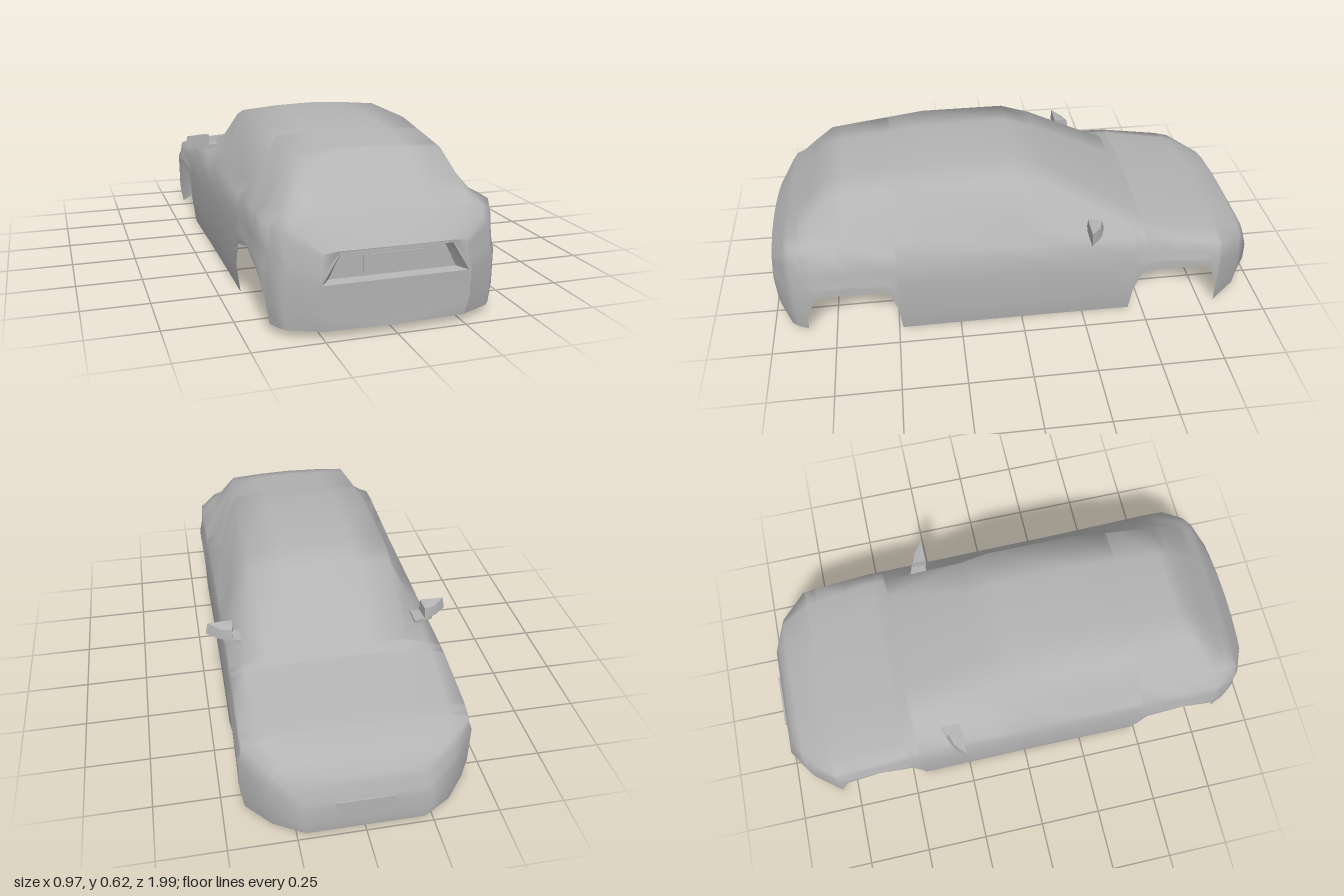
import * as THREE from 'three';
import { toCreasedNormals } from 'three/addons/utils/BufferGeometryUtils.js';
import { ConvexGeometry } from 'three/addons/geometries/ConvexGeometry.js';

// Body stations: z, half width, bulge y, shoulder y, window base x/y, roof edge x/y, centre y
const KEYS = [
  [0.973, 0.27, 0.2, 0.285, 0.25, 0.301, 0.2, 0.307, 0.309],
  [0.925, 0.375, 0.22, 0.335, 0.335, 0.365, 0.265, 0.388, 0.395],
  [0.9, 0.395, 0.23, 0.36, 0.345, 0.395, 0.29, 0.41, 0.417],
  [0.81, 0.433, 0.25, 0.385, 0.355, 0.41, 0.285, 0.488, 0.5],
  [0.727, 0.434, 0.256, 0.388, 0.358, 0.412, 0.26, 0.565, 0.578],
  [0.34, 0.43, 0.256, 0.38, 0.362, 0.412, 0.284, 0.603, 0.621],
  [0, 0.429, 0.256, 0.378, 0.362, 0.41, 0.284, 0.603, 0.621],
  [-0.12, 0.429, 0.256, 0.375, 0.362, 0.405, 0.28, 0.566, 0.583],
  [-0.5, 0.431, 0.256, 0.365, 0.36, 0.38, 0.27, 0.39, 0.398],
  [-0.75, 0.434, 0.254, 0.325, 0.345, 0.343, 0.22, 0.35, 0.355],
  [-0.81, 0.432, 0.245, 0.31, 0.34, 0.33, 0.215, 0.338, 0.342],
  [-0.92, 0.345, 0.19, 0.265, 0.29, 0.285, 0.2, 0.305, 0.31],
  [-0.985, 0.235, 0.14, 0.215, 0.21, 0.236, 0.15, 0.246, 0.252],
];

// Lower edge (z, y, inward tuck), rising over the two wheel arches
const LOWER = [
  [0.973, 0.033, 0.016], [0.86, 0.033, 0.01], [0.85, 0.12, 0], [0.81, 0.21, 0], [0.68, 0.25, 0],
  [0.53, 0.21, 0], [0.495, 0.12, 0], [0.485, 0.006, 0.016], [-0.445, 0.006, 0.016], [-0.455, 0.12, 0],
  [-0.49, 0.21, 0], [-0.626, 0.25, 0], [-0.765, 0.21, 0], [-0.8, 0.12, 0], [-0.81, 0.008, 0.016],
  [-0.92, 0.018, 0.016], [-0.985, 0.024, 0.016],
];

function sample(table, z) {
  let i = 0;
  while (i < table.length - 2 && z < table[i + 1][0]) i++;
  const t = (table[i][0] - z) / (table[i][0] - table[i + 1][0]);
  return table[i].map((v, c) => v + (table[i + 1][c] - v) * t);
}

// Cross-section from the left sill over the roof to the right sill
function section(z) {
  const [, w, ym, ys, xg, yg, xr, yr, yc] = sample(KEYS, z);
  const [, yb, tuck] = sample(LOWER, z);
  const half = [
    [w - tuck, yb], [w - tuck * 0.15, yb + (ym - yb) * 0.35], [w, ym], [w - 0.011, ym + (ys - ym) * 0.35],
    [w - 0.018, ys], [xg, yg], [xr, yr], [xr * 0.5, yr + (yc - yr) * 0.7], [0, yc],
  ];
  return half.concat(half.slice(0, 8).reverse().map(([x, y]) => [-x, y]));
}

// Bowed surfaces of the two ends
const tailZ = (x, y) => 0.973 + 0.015 * (1 - (x / 0.27) ** 2) + 0.012 * (1 - ((y - 0.18) / 0.14) ** 2);
const noseZ = (y) => -0.982 - 0.014 * (1 - ((y - 0.09) / 0.1) ** 2);

function meshFrom(points, index) {
  const g = new THREE.BufferGeometry();
  g.setAttribute('position', new THREE.Float32BufferAttribute(points.flat(), 3));
  g.setIndex(index);
  g.computeVertexNormals();
  return g;
}

// Loft of sides, bonnet and roof, closed by the nose
function shellGeometry() {
  const zs = [...new Set([...KEYS, ...LOWER].map((r) => r[0]))].sort((a, b) => b - a);
  const points = [], index = [], n = 17, last = zs.length - 1;
  zs.forEach((z, j) => {
    section(z).forEach(([x, y]) => points.push([x, y, j === 0 ? tailZ(x, y) : j === last ? noseZ(y) : z]));
    if (j === 0) return;
    for (let k = 0; k < n - 1; k++) {
      const a = (j - 1) * n + k, c = a + n;
      index.push(a, c, a + 1, a + 1, c, c + 1);
    }
  });
  for (let k = 0; k < 8; k++) {
    const a = last * n + k, b = last * n + 16 - k;
    index.push(a, b, a + 1);
    if (k < 7) index.push(a + 1, b, b - 1);
  }
  return meshFrom(points, index);
}

// Panel filling the rear section around an opening
function tailGeometry(hole) {
  const toV = ([x, y]) => new THREE.Vector2(x, y);
  const s = section(0.973);
  const shape = new THREE.Shape([...s, [0, s[0][1]]].map(toV));
  shape.holes.push(new THREE.Path(hole.map(toV)));
  const g = new THREE.ShapeGeometry(shape);
  const p = g.attributes.position;
  for (let i = 0; i < p.count; i++) p.setZ(i, tailZ(p.getX(i), p.getY(i)));
  g.computeVertexNormals();
  return g;
}

export function createModel() {
  const car = new THREE.Group();
  car.name = 'carBody';
  const grey = new THREE.MeshStandardMaterial({ color: 0xb4b4b4, side: THREE.DoubleSide });
  grey.name = 'bodyGrey';
  const add = (name, geometry, x = 0, y = 0, z = 0) => {
    const m = new THREE.Mesh(geometry, grey);
    m.name = name;
    m.position.set(x, y, z);
    car.add(m);
    return m;
  };

  add('bodyShell', shellGeometry());

  // Tail panel with a sunken trapezoid for the plate
  const outer = [[-0.26, 0.197], [0.26, 0.197], [0.198, 0.299], [-0.198, 0.299]];
  const inner = [[-0.228, 0.203], [0.228, 0.203], [0.185, 0.287], [-0.185, 0.287]];
  add('tailPanel', tailGeometry(outer));
  const rim = [...outer.map(([x, y]) => [x, y, tailZ(x, y)]), ...inner.map(([x, y]) => [x, y, 0.95])];
  const faces = [4, 5, 6, 4, 6, 7];
  for (let i = 0; i < 4; i++) {
    const j = (i + 1) % 4;
    faces.push(i, j, j + 4, i, j + 4, i + 4);
  }
  add('plateRecess', toCreasedNormals(meshFrom(rim, faces), 0.4));

  // Number plates
  add('rearPlate', new THREE.BoxGeometry(0.216, 0.064, 0.006), 0, 0.245, 0.951);
  add('frontPlate', new THREE.BoxGeometry(0.216, 0.062, 0.008), 0, 0.13, -0.993);

  for (const s of [1, -1]) {
    // Inner wall behind the wheel arches
    const wall = add(s > 0 ? 'leftInnerWall' : 'rightInnerWall', new THREE.PlaneGeometry(1.76, 0.22), s * 0.25, 0.163, 0.03);
    wall.rotation.y = s * Math.PI / 2;

    // Door mirror: housing and foot
    const hull = (pts) => toCreasedNormals(new ConvexGeometry(pts.map(([x, y, z]) => new THREE.Vector3(s * x, y, z))), 0.5);
    add('mirrorHousing', hull([
      [0.38, 0.455, -0.26], [0.475, 0.453, -0.26], [0.485, 0.405, -0.26], [0.475, 0.398, -0.26], [0.38, 0.4, -0.26],
      [0.385, 0.448, -0.315], [0.43, 0.445, -0.3], [0.44, 0.403, -0.3], [0.385, 0.402, -0.325],
    ]));
    add('mirrorFoot', hull([
      [0.34, 0.41, -0.265], [0.34, 0.41, -0.338], [0.34, 0.392, -0.265], [0.34, 0.392, -0.338],
      [0.43, 0.404, -0.262], [0.42, 0.404, -0.31], [0.43, 0.391, -0.262], [0.42, 0.391, -0.31],
    ]));
  }
  return car;
}
